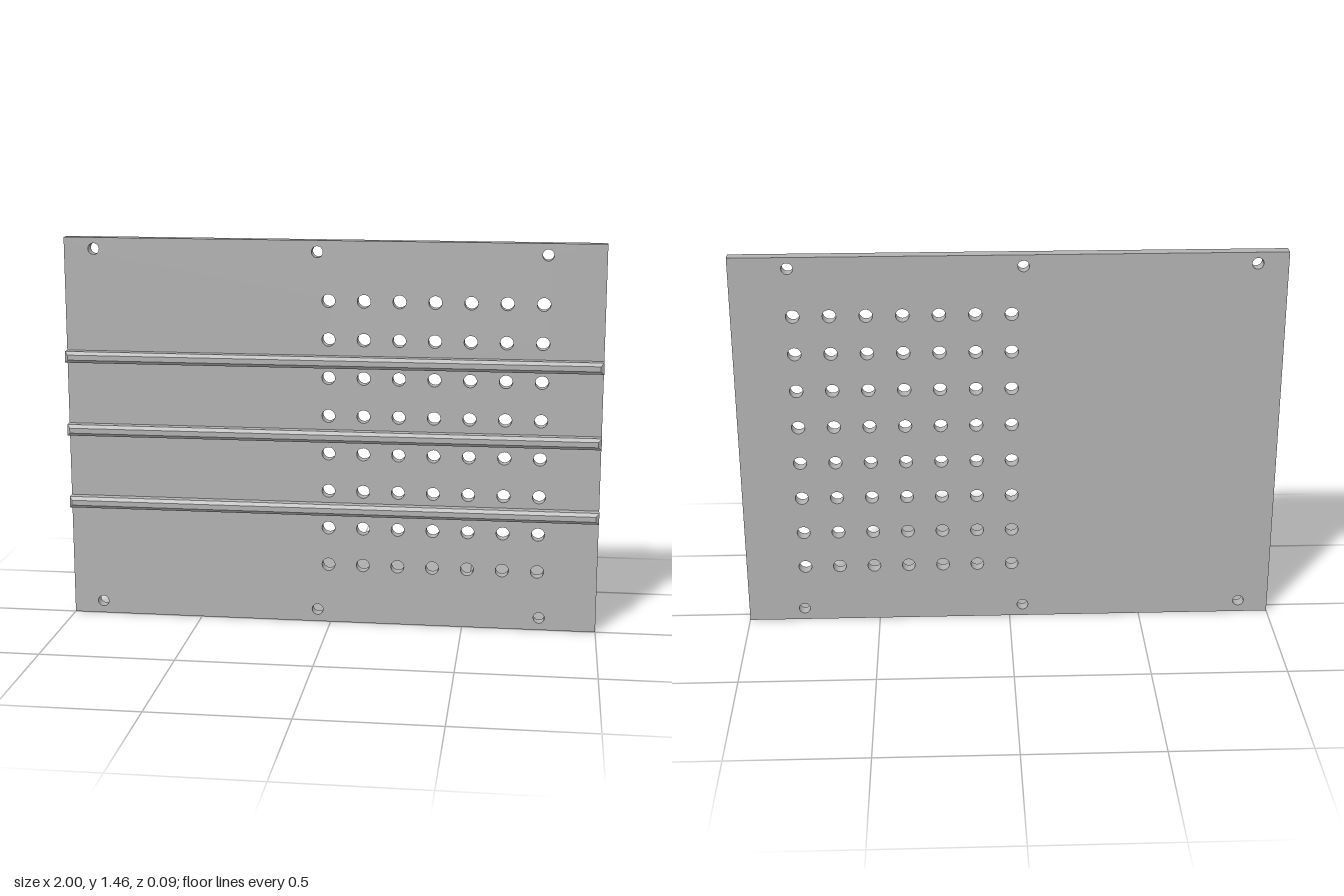
import * as THREE from 'three';

const WIDTH = 2, HEIGHT = 1.455, THICK = 0.045;

const grey = new THREE.MeshStandardMaterial({ color: 0xb2b2b2 });
grey.name = 'plain grey';

// Flat panel pierced by mounting holes and a grid of round holes
function makePanel() {
  const shape = new THREE.Shape([
    new THREE.Vector2(-WIDTH / 2, 0),
    new THREE.Vector2(WIDTH / 2, 0),
    new THREE.Vector2(WIDTH / 2, HEIGHT),
    new THREE.Vector2(-WIDTH / 2, HEIGHT),
  ]);
  const addHole = (x, y, r) => {
    const hole = new THREE.Path();
    hole.absarc(x, y, r, 0, Math.PI * 2, true);
    shape.holes.push(hole);
  };

  // Mounting holes along the top and bottom edges
  for (const x of [-0.888, -0.05, 0.789])
    for (const y of [0.047, 1.413]) addHole(x, y, 0.021);

  // Grid of 7 by 8 holes on the left half
  for (let i = 0; i < 7; i++)
    for (let j = 0; j < 8; j++) addHole(-0.008 + i * 0.131, 0.227 + j * 0.1438, 0.0245);

  const geometry = new THREE.ExtrudeGeometry(shape, {
    depth: THICK, bevelEnabled: false, curveSegments: 16,
  });
  geometry.translate(0, 0, -THICK);
  const mesh = new THREE.Mesh(geometry, grey);
  mesh.name = 'panel';
  return mesh;
}

// Horizontal rail whose front face is chamfered on all four sides
function makeRail(y) {
  const h = 0.043, depth = 0.045, chamfer = 0.012;
  const box = new THREE.BoxGeometry(WIDTH, h, depth, 1, 1, 2);
  const p = box.attributes.position;
  for (let i = 0; i < p.count; i++) {
    const z = p.getZ(i);
    if (z > 0.001) {
      p.setX(i, p.getX(i) - Math.sign(p.getX(i)) * chamfer);
      p.setY(i, p.getY(i) - Math.sign(p.getY(i)) * chamfer);
    } else if (z > -0.001) {
      p.setZ(i, depth / 2 - chamfer);
    }
  }
  const geometry = box.toNonIndexed();
  geometry.computeVertexNormals();
  const mesh = new THREE.Mesh(geometry, grey);
  mesh.position.set(0, y, depth / 2);
  mesh.name = 'rail';
  return mesh;
}

export function createModel() {
  const model = new THREE.Group();
  model.name = 'perforated panel with rails';
  model.add(makePanel());
  for (const y of [0.448, 0.729, 1.009]) model.add(makeRail(y));
  return model;
}
